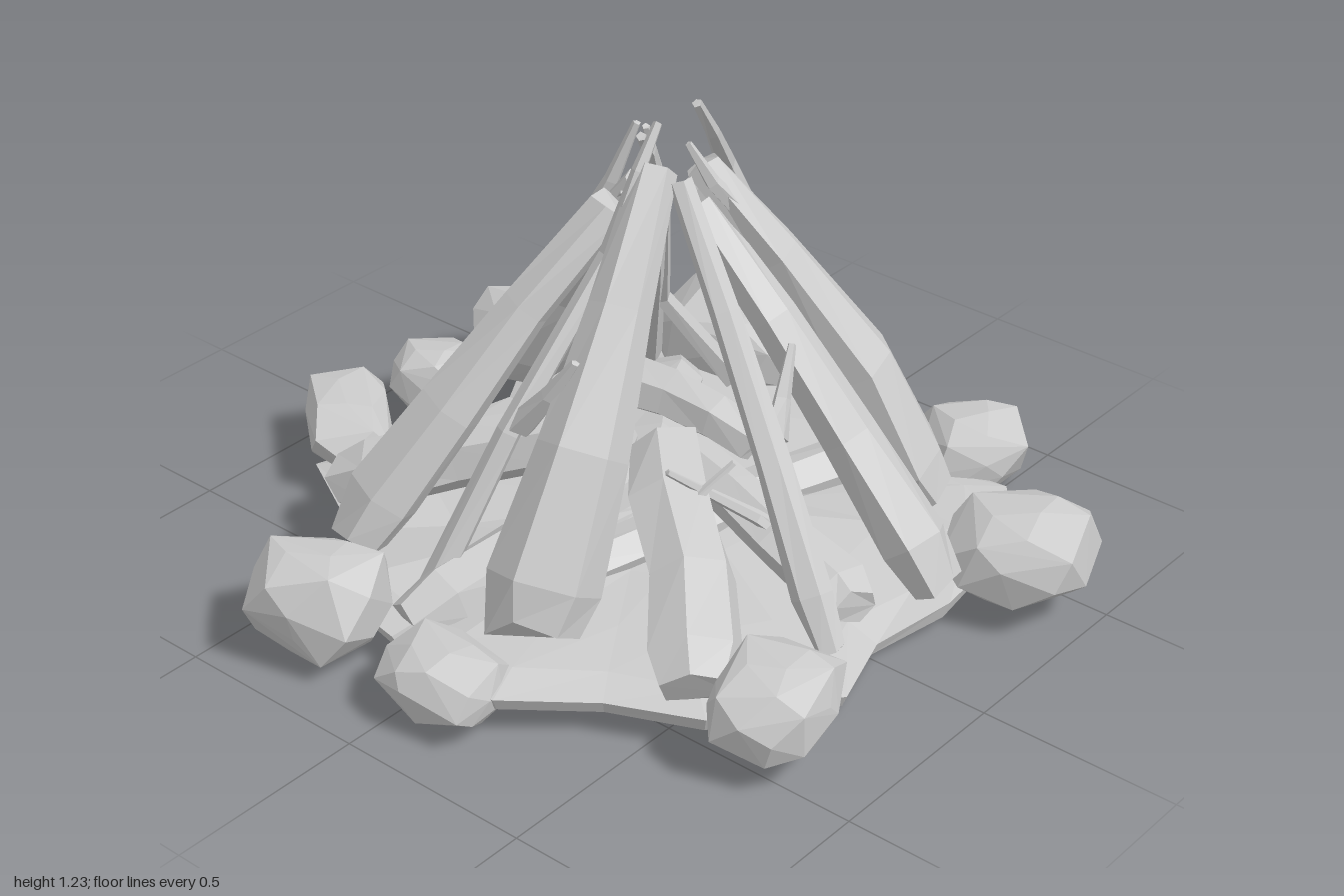
import * as THREE from 'three';
import { ConvexGeometry } from 'three/addons/geometries/ConvexGeometry.js';

const V = (a) => new THREE.Vector3(...a);

function seeded(seed) {
  let s = seed * 7919 + 17;
  return () => ((s = (s * 16807) % 2147483647) / 2147483647);
}

// Triangles from index rows; flat shaded through separate corners
function faceted(points, index) {
  const g = new THREE.BufferGeometry().setFromPoints(points);
  g.setIndex(index);
  const flat = g.toNonIndexed();
  flat.computeVertexNormals();
  return flat;
}

// Rough log: tapered polygon section swept along path points.
// widths/depths are half sizes at each path point, out is the outer side.
function loft(path, widths, depths, out, sides, rnd) {
  const pts = [], index = [], n = path.length;
  path.forEach((p, i) => {
    const t = path[Math.min(i + 1, n - 1)].clone().sub(path[Math.max(i - 1, 0)]).normalize();
    const side = t.clone().cross(out).normalize();
    const nrm = t.clone().cross(side);
    for (let j = 0; j < sides; j++) {
      const a = ((j + 0.3) / sides) * Math.PI * 2, r = 0.97 + rnd() * 0.16;
      pts.push(p.clone()
        .addScaledVector(side, Math.cos(a) * widths[i] * r)
        .addScaledVector(nrm, Math.sin(a) * depths[i] * r)
        .addScaledVector(t, i === 0 || i === n - 1 ? (rnd() - 0.5) * widths[i] * 0.5 : 0));
    }
  });
  for (let i = 0; i < n - 1; i++) {
    for (let j = 0; j < sides; j++) {
      const a = i * sides + j, b = i * sides + (j + 1) % sides;
      index.push(a, b, b + sides, a, b + sides, a + sides);
    }
  }
  const top = (n - 1) * sides;
  for (let j = 1; j < sides - 1; j++) index.push(0, j + 1, j, top, top + j, top + j + 1);
  return faceted(pts, index);
}

// Leaning or lying log between two ends, thick near the base and bowed outward
function logGeometry(base, tip, w, d, taper, seed, lying) {
  const rnd = seeded(seed), a = V(base), b = V(tip);
  const out = lying ? V([0, 1, 0]) : V([base[0], 0, base[2]]).normalize();
  const stops = [0, 0.12, 0.4, 0.72, 1];
  const path = stops.map((s, i) => {
    const p = a.clone().lerp(b, s).addScaledVector(out, Math.sin(s * Math.PI) * w * 0.25);
    if (i > 0 && i < 4) p.add(V([rnd() - 0.5, rnd() - 0.5, rnd() - 0.5]).multiplyScalar(w * 0.25));
    return p;
  });
  const k = stops.map((s, i) => (i === 0 ? 0.72 : 1 + (taper - 1) * s));
  return loft(path, k.map((v) => v * w), k.map((v) => v * d), out, 6, rnd);
}

// Thin bent twig narrowing to its tip
function twigGeometry(points, r, seed) {
  const path = points.map(V), n = path.length;
  const radii = path.map((_, i) => r * (1 - 0.7 * i / (n - 1)));
  const dir = path[n - 1].clone().sub(path[0]).normalize();
  const out = Math.abs(dir.y) > 0.8 ? V([0.6, 0, 0.8]) : V([0, 1, 0]);
  return loft(path, radii, radii, out, 5, seeded(seed));
}

// Chunky faceted stone fitted to a centre and half sizes; long stretches it before turning
function stoneGeometry(c, h, yaw, long, seed) {
  const rnd = seeded(seed), pts = [], n = 30;
  for (let i = 0; i < n; i++) {
    const y = 1 - (2 * (i + 0.5)) / n, a = i * 2.4 + rnd() * 0.5, r = Math.sqrt(1 - y * y);
    const p = V([Math.cos(a) * r, y, Math.sin(a) * r]);
    const box = Math.max(Math.abs(p.x), Math.abs(p.y), Math.abs(p.z));
    p.multiplyScalar((0.94 + rnd() * 0.1) / Math.pow(box, 0.6));
    pts.push(p.multiply(V([h[0] * long, h[1], h[2]])).applyAxisAngle(V([0, 1, 0]), yaw));
  }
  const bounds = new THREE.Box3().setFromPoints(pts);
  const mid = bounds.getCenter(new THREE.Vector3()), size = bounds.getSize(new THREE.Vector3());
  pts.forEach((p) => p.sub(mid).divide(size).multiply(V(h)).multiplyScalar(2).add(V(c)));
  return new ConvexGeometry(pts);
}

// Uneven ash bed: ragged rim points (x, height, z), domed top, hollow underside
function groundGeometry() {
  const rim = [[-0.1, 0.07, -0.84], [0.2, 0.06, -0.78], [0.42, 0.06, -0.7], [0.58, 0.08, -0.69],
    [0.74, 0.1, -0.48], [0.76, 0.07, -0.2], [0.7, 0.04, 0], [0.78, 0.06, 0.22], [0.63, 0.09, 0.53],
    [0.42, 0.09, 0.63], [0.24, 0.11, 0.79], [0.05, 0.11, 0.82], [-0.12, 0.08, 0.74],
    [-0.35, 0.09, 0.7], [-0.5, 0.05, 0.48], [-0.8, 0.07, 0.32], [-0.72, 0.06, 0.02],
    [-0.67, 0.05, -0.25], [-0.76, 0.07, -0.42], [-0.58, 0.07, -0.55], [-0.46, 0.08, -0.74]];
  // Scale of each ring and its height above the rim
  const rings = [[0.35, 0.05], [0.65, 0.04], [0.88, 0.03], [1, 0.01], [0.98, -0.025], [0.85, 0.0], [0.4, 0.02]];
  const rnd = seeded(5), n = rim.length, pts = [], index = [];
  rings.forEach(([s, lift]) => rim.forEach(([x, y, z]) =>
    pts.push(V([x * s, 0.07 + (y - 0.07) * s + lift + (rnd() - 0.5) * 0.014, z * s]))));
  const top = pts.push(V([0, 0.125, 0])) - 1, bottom = pts.push(V([0, 0.095, 0])) - 1;
  const last = (rings.length - 1) * n;
  for (let j = 0; j < n; j++) {
    const k = (j + 1) % n;
    index.push(top, k, j, bottom, last + j, last + k);
    for (let i = 0; i < rings.length - 1; i++) {
      const a = i * n + j, b = i * n + k;
      index.push(a, b, b + n, a, b + n, a + n);
    }
  }
  return faceted(pts, index);
}

export function createModel() {
  const model = new THREE.Group();
  model.name = 'campfire';
  const material = new THREE.MeshStandardMaterial({ color: 0xcccccc, flatShading: true });
  const addSet = (name, geometries) => {
    const group = new THREE.Group();
    group.name = name + 's';
    geometries.forEach((g, i) => {
      const mesh = new THREE.Mesh(g, material);
      mesh.name = name + (i + 1);
      group.add(mesh);
    });
    model.add(group);
  };

  addSet('ashBed', [groundGeometry()]);

  // Ring of stones: centre, half sizes, yaw, stretch
  addSet('stone', [
    [[-0.335, 0.14, -0.78], [0.225, 0.125, 0.18], 0.1, 1],
    [[0.42, 0.105, -0.76], [0.16, 0.105, 0.16], 0.8, 1],
    [[0.815, 0.165, -0.395], [0.18, 0.11, 0.185], 0.3, 1.1],
    [[0.745, 0.16, 0.44], [0.135, 0.1, 0.17], 0.2, 1],
    [[0.085, 0.105, 0.79], [0.15, 0.085, 0.12], 0, 1],
    [[-0.3, 0.15, 0.795], [0.165, 0.125, 0.155], 0.4, 1],
    [[-0.815, 0.115, 0.175], [0.185, 0.09, 0.175], -0.75, 1.7],
    [[-0.8, 0.13, -0.12], [0.12, 0.09, 0.12], 0.2, 1],
    [[-0.755, 0.15, -0.45], [0.175, 0.105, 0.145], 0.55, 1.4],
  ].map(([c, h, yaw, long], i) => stoneGeometry(c, h, yaw, long, i + 3)));

  // Leaning logs: base, tip, half width, half depth, taper
  addSet('leaningLog', [
    [[0.19, 0.17, 0.6], [0.035, 1.05, 0.0], 0.14, 0.105, 0.36],
    [[-0.39, 0.16, 0.57], [-0.07, 0.93, 0.03], 0.11, 0.09, 0.5],
    [[-0.58, 0.21, -0.26], [-0.06, 0.95, -0.07], 0.16, 0.095, 0.4],
    [[0.54, 0.2, -0.41], [0.06, 1.02, -0.13], 0.145, 0.095, 0.42],
    [[0.76, 0.15, -0.15], [0.09, 0.93, -0.09], 0.09, 0.08, 0.5],
    [[0.71, 0.14, 0.19], [0.09, 1.02, -0.02], 0.05, 0.045, 0.55],
    [[-0.6, 0.15, 0.1], [-0.06, 0.97, -0.04], 0.055, 0.05, 0.5],
    [[0.1, 0.13, -0.74], [0.03, 0.95, -0.13], 0.05, 0.04, 0.5],
    [[-0.19, 0.12, 0.52], [-0.06, 0.82, 0.03], 0.035, 0.03, 0.6],
  ].map(([b, t, w, d, k], i) => logGeometry(b, t, w, d, k, i + 20)));

  // Logs lying on the ash inside the cone
  addSet('lyingLog', [
    [[-0.2, 0.37, -0.12], [0.22, 0.32, -0.16], 0.07, 0.065, 0.8],
    [[-0.1, 0.12, 0.7], [0.04, 0.26, -0.05], 0.085, 0.065, 0.8],
    [[-0.6, 0.16, 0.42], [-0.03, 0.34, 0.03], 0.095, 0.085, 0.8],
    [[0.58, 0.15, 0.5], [0.08, 0.34, 0.02], 0.11, 0.09, 0.8],
    [[0.28, 0.1, -0.68], [0.03, 0.12, 0.42], 0.075, 0.07, 0.8],
    [[-0.36, 0.12, -0.55], [0.05, 0.24, 0.05], 0.08, 0.065, 0.8],
    [[0.65, 0.14, 0.02], [0.05, 0.25, -0.1], 0.08, 0.06, 0.8],
  ].map(([b, t, w, d, k], i) => logGeometry(b, t, w, d, k, i + 40, true)));

  // Thin twigs and their side shoots: path and base radius
  addSet('twig', [
    [[[0, 0.14, -0.78], [0.01, 0.6, -0.47], [0.02, 0.95, -0.27], [0.085, 1.1, -0.14], [0.12, 1.22, -0.04]], 0.036],
    [[[-0.14, 0.12, 0.6], [-0.06, 0.5, 0.4], [0.0, 0.86, 0.12], [0.02, 1.05, 0.04], [0.025, 1.15, -0.02]], 0.036],
    [[[-0.04, 0.52, 0.38], [0.04, 0.62, 0.37], [0.1, 0.72, 0.35]], 0.034],
    [[[-0.46, 0.14, -0.55], [-0.27, 0.52, -0.35], [-0.13, 0.85, -0.2], [-0.07, 1.02, -0.1], [-0.05, 1.08, -0.05]], 0.038],
    [[[-0.22, 0.14, -0.6], [-0.3, 0.42, -0.42], [-0.15, 0.82, -0.25], [-0.13, 1.04, -0.16]], 0.03],
    [[[-0.4, 0.3, -0.4], [-0.35, 0.55, -0.37], [-0.32, 0.69, -0.35]], 0.026],
    [[[0.01, 0.58, -0.48], [0.06, 0.66, -0.44], [0.11, 0.72, -0.41]], 0.024],
    [[[0.44, 0.52, 0.06], [0.41, 0.59, 0.0], [0.38, 0.69, -0.07]], 0.03],
    [[[0.24, 0.14, 0.22], [0.26, 0.3, 0.2], [0.33, 0.42, 0.07]], 0.026],
    [[[0.5, 0.14, -0.08], [0.36, 0.26, 0.02], [0.24, 0.42, 0.2]], 0.026],
    [[[-0.22, 0.75, 0.0], [-0.13, 0.95, -0.04], [-0.08, 1.1, -0.07]], 0.03],
    [[[0.2, 0.85, -0.2], [0.12, 1.0, -0.1], [0.08, 1.1, -0.06]], 0.028],
  ].map(([p, r], i) => twigGeometry(p, r, i + 60)));

  return model;
}
